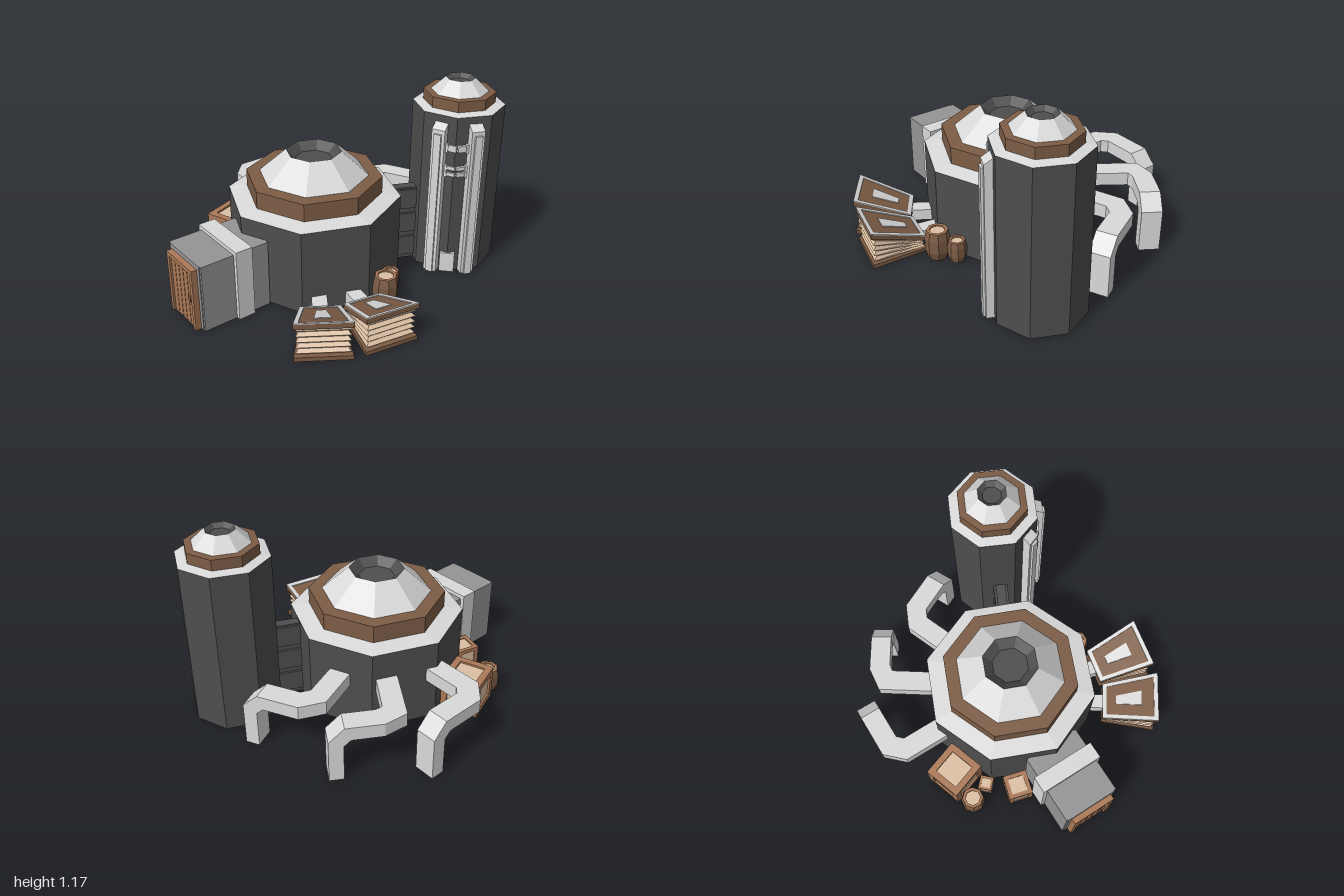
import * as THREE from 'three';

const mat = (name, color, side = THREE.FrontSide) => { const m = new THREE.MeshStandardMaterial({ color, side }); m.name = name; return m; };
// metal and stone shells are open underneath
const DARK = mat('dark iron', 0x4e4e4e, THREE.DoubleSide), LIGHT = mat('light metal', 0xdadada, THREE.DoubleSide);
const GREY = mat('mid grey stone', 0x959595, THREE.DoubleSide);
const BROWN = mat('dark wood', 0x7d5d46), WOOD = mat('light wood', 0xab7957), TAN = mat('tan hide', 0xdcc0a4);

// faceted normals for every geometry
function flat(geo) {
  const g = geo.index ? geo.toNonIndexed() : geo;
  g.computeVertexNormals();
  return g;
}
function add(parent, name, geo, material, x = 0, y = 0, z = 0, ry = 0) {
  const m = new THREE.Mesh(flat(geo), material);
  m.name = name;
  m.position.set(x, y, z);
  m.rotation.y = ry;
  parent.add(m);
  return m;
}
function group(parent, name, x, z, ry = 0) {
  const g = new THREE.Group();
  g.name = name;
  g.position.set(x, 0, z);
  g.rotation.y = ry;
  parent.add(g);
  return g;
}
const lathe = (pts) => new THREE.LatheGeometry(pts.map(([r, y]) => new THREE.Vector2(r, y)), 8);
// box between two corners
function block(parent, name, material, x0, x1, y0, y1, z0, z1) {
  return add(parent, name, new THREE.BoxGeometry(x1 - x0, y1 - y0, z1 - z0), material, (x0 + x1) / 2, (y0 + y1) / 2, (z0 + z1) / 2);
}

// octagonal building: open-bottomed wall, rim, wooden ring, dome and vent
function building(parent, name, x, z, ry, r, h, ringR, ringY0, ringY1, domeR, topR, topY) {
  const g = group(parent, name, x, z, ry);
  add(g, 'wall', lathe([[r, 0], [r, h]]), DARK);
  add(g, 'rim', lathe([[r, h], [ringR - 0.02, ringY0 + 0.004]]), LIGHT);
  add(g, 'woodenRing', lathe([[ringR, ringY0], [ringR, ringY1], [domeR - 0.01, ringY1 + 0.002]]), BROWN);
  add(g, 'dome', lathe([[domeR, ringY1], [topR, topY]]), LIGHT);
  add(g, 'vent', lathe([[topR, topY], [topR * 0.66, topY - topR * 0.3], [0, topY - topR * 0.3]]), DARK);
  return g;
}

// rectangular duct swept along a path with mitred corners, open at both ends
function duct(parent, points) {
  const P = points.map((p) => new THREE.Vector3(...p));
  const dir = (i) => P[i + 1].clone().sub(P[i]).normalize();
  let d = dir(0);
  const side = new THREE.Vector3(0, 1, 0).cross(d).normalize();
  let offs = [[-1, -1], [1, -1], [1, 1], [-1, 1]].map(([a, b]) => side.clone().multiplyScalar(a * 0.063).add(new THREE.Vector3(0, b * 0.042, 0)));
  const pos = [], idx = [];
  P.forEach((p, i) => {
    const out = i < P.length - 1 ? dir(i) : d;
    const n = d.clone().add(out).normalize();
    const ring = offs.map((o) => o.clone().addScaledVector(d, -o.dot(n) / d.dot(n)));
    ring.forEach((o) => pos.push(p.x + o.x, p.y + o.y, p.z + o.z));
    offs = ring.map((o) => o.clone().addScaledVector(out, -o.dot(out)));
    d = out;
    if (i) for (let k = 0; k < 4; k++) {
      const a = (i - 1) * 4 + k, b = (i - 1) * 4 + (k + 1) % 4;
      idx.push(a, b, b + 4, a, b + 4, a + 4);
    }
  });
  const geo = new THREE.BufferGeometry();
  geo.setAttribute('position', new THREE.Float32BufferAttribute(pos, 3));
  geo.setIndex(idx);
  add(parent, 'duct', geo, LIGHT);
}

// crate: tan core with wooden bars along all twelve edges
function crate(parent, x, z, s, h, ry) {
  const g = group(parent, 'crate', x, z, ry), t = s * 0.17, i = t * 0.3;
  block(g, 'panels', TAN, -s / 2 + i, s / 2 - i, i, h - i, -s / 2 + i, s / 2 - i);
  const e = s / 2 - t / 2;
  for (const a of [-1, 1]) for (const b of [-1, 1]) {
    add(g, 'post', new THREE.BoxGeometry(t, h, t), WOOD, a * e, h / 2, b * e);
    const y = h / 2 + b * (h / 2 - t / 2);
    add(g, 'sideBar', new THREE.BoxGeometry(s - 2 * t, t, t), WOOD, 0, y, a * e);
    add(g, 'crossBar', new THREE.BoxGeometry(t, t, s - 2 * t), WOOD, a * e, y, 0);
  }
}

function barrel(parent, x, z, r, h) {
  const g = group(parent, 'barrel', x, z, 0.3);
  add(g, 'staves', lathe([[0, 0], [r * 0.8, 0], [r, h * 0.28], [r, h * 0.72], [r * 0.86, h]]), BROWN);
  add(g, 'barrelRim', lathe([[r * 0.86, h], [r * 0.62, h], [r * 0.62, h - 0.012]]), WOOD);
  add(g, 'lid', lathe([[r * 0.63, h - 0.01], [0, h - 0.01]]), TAN);
}

// tapered slab along x: widths w, bottom heights b and top heights t at [start, end]; insets for lower and upper faces
function slab(x0, x1, w, b, t, insetLow = 0, insetHigh = 0) {
  const geo = new THREE.BoxGeometry(1, 1, 1), p = geo.attributes.position;
  for (let i = 0; i < p.count; i++) {
    const k = p.getX(i) + 0.5, up = p.getY(i) > 0, inset = up ? insetHigh : insetLow, q = up ? t : b;
    p.setXYZ(i, x0 + (x1 - x0) * k + (k > 0.5 ? -inset : inset), q[0] + (q[1] - q[0]) * k,
      p.getZ(i) * (w[0] + (w[1] - w[0]) * k - 2 * inset));
  }
  return geo;
}

function bellows(parent, x, z, ry) {
  const g = group(parent, 'bellows', x, z, ry), L = 0.34, w = [0.23, 0.32];
  add(g, 'bottomBoard', slab(0, L, w, [0.004, 0.004], [0.025, 0.03]), BROWN);
  add(g, 'bottomPanel', slab(0.03, L - 0.03, [0.18, 0.25], [0, 0], [0.006, 0.006]), TAN);
  // accordion folds
  const n = 5, at = (k) => [0.025 + 0.05 * k, 0.03 + 0.18 * k];
  for (let i = 0; i < n; i++) {
    const a = at(i / n), m = at((i + 0.5) / n), c = at((i + 1) / n);
    add(g, 'foldLower', slab(0, L, w, a, m, 0.03, 0.012), TAN);
    add(g, 'foldUpper', slab(0, L, w, m, c, 0.012, 0.03), TAN);
  }
  add(g, 'topBoard', slab(0, L, w, [0.075, 0.21], [0.105, 0.242]), BROWN);
  // metal edging and centre plate lying on the sloping top board
  const y = (q) => 0.105 + (q / L) * 0.137;
  const plate = (name, x0, x1, widths) => add(g, name, slab(x0, x1, widths, [y(x0), y(x1)], [y(x0) + 0.006, y(x1) + 0.006]), LIGHT);
  plate('innerEdging', 0, 0.025, [0.23, 0.237]);
  plate('outerEdging', L - 0.025, L, [0.313, 0.32]);
  for (const s of [-1, 1]) {
    const geo = slab(0.025, L - 0.025, [0.025, 0.025], [y(0.025), y(L - 0.025)], [y(0.025) + 0.006, y(L - 0.025) + 0.006]);
    const p = geo.attributes.position;
    for (let i = 0; i < p.count; i++) p.setZ(i, p.getZ(i) + s * (0.1025 + 0.045 * p.getX(i) / L));
    add(g, 'sideEdging', geo, LIGHT);
  }
  plate('centrePlate', 0.085, 0.24, [0.055, 0.095]);
  block(g, 'nozzle', LIGHT, -0.13, 0.01, 0.025, 0.1, -0.045, 0.045);
}

export function createModel() {
  const model = new THREE.Group();
  model.name = 'forge';
  building(model, 'mainHall', -0.032, 0.07, 0, 0.522, 0.52, 0.41, 0.535, 0.643, 0.33, 0.165, 0.79);
  const tower = building(model, 'tower', 0.349, -0.73, -0.05, 0.273, 1.02, 0.213, 1.03, 1.095, 0.172, 0.087, 1.175);

  // two metal pilasters on neighbouring tower faces, joined by brackets
  for (const s of [-1, 1]) {
    const f = group(tower, 'pilaster', 0, 0, Math.PI / 4 + 0.04 + s * Math.PI / 8);
    block(f, 'pilasterBody', LIGHT, -0.04, 0.04, 0, 0.94, 0.24, 0.3);
    const cap = slab(0.24, 0.3, [0.08, 0.08], [0.94, 0.94], [0.985, 0.945]);
    cap.rotateY(-Math.PI / 2);
    add(f, 'pilasterCap', cap, LIGHT);
    block(f, 'pilasterStrip', LIGHT, -0.022, 0.022, 0, 0.92, 0.29, 0.314);
    for (const [y, h] of [[0.83, 0.04], [0.705, 0.022], [0.665, 0.022]]) {
      const x = -s * 0.07;
      add(f, 'bracket', new THREE.BoxGeometry(0.065, h, 0.03), LIGHT, x, y, 0.251);
      add(f, 'bracketFlange', new THREE.BoxGeometry(0.016, h + 0.015, 0.04), LIGHT, -s * 0.046, y, 0.252);
    }
  }
  const foot = group(tower, 'pilasterFoot', 0, 0, Math.PI / 4);
  block(foot, 'footBlock', LIGHT, -0.045, 0.045, 0, 0.13, 0.22, 0.28);

  // dark stacked link between hall and tower
  const link = group(model, 'link', 0.22, -0.43, -0.45);
  block(link, 'linkCore', DARK, -0.03, 0.03, 0, 0.5, -0.13, 0.13);
  for (const y of [0.03, 0.195, 0.36]) block(link, 'linkBlock', DARK, -0.044, 0.044, y, y + 0.13, -0.13, 0.13);

  // entrance porch, open underneath, with light collar
  for (const s of [-1, 1]) {
    add(model, 'porchSide', new THREE.BoxGeometry(0.03, 0.415, 0.43), GREY, -0.03 + s * 0.16, 0.2075, 0.745);
    add(model, 'collarSide', new THREE.BoxGeometry(0.04, 0.415, 0.105), LIGHT, -0.03 + s * 0.18, 0.2075, 0.7025);
  }
  block(model, 'porchRoof', GREY, -0.19, 0.13, 0.385, 0.415, 0.45, 0.96);
  block(model, 'porchFront', GREY, -0.19, 0.13, 0, 0.415, 0.95, 0.965);
  block(model, 'collarTop', LIGHT, -0.23, 0.17, 0.405, 0.44, 0.65, 0.755);

  // plank door
  const door = group(model, 'door', -0.031, 0.965);
  block(door, 'doorBacking', BROWN, -0.135, 0.135, 0, 0.38, 0, 0.012);
  for (const s of [-1, 1]) add(door, 'doorPost', new THREE.BoxGeometry(0.026, 0.386, 0.035), WOOD, s * 0.125, 0.193, 0.0175);
  block(door, 'doorLintel', WOOD, -0.112, 0.112, 0.36, 0.386, 0, 0.035);
  for (let i = 0; i < 5; i++) add(door, 'plank', new THREE.BoxGeometry(0.04, 0.355, 0.024), WOOD, (i - 2) * 0.0445, 0.1775, 0.012);
  block(door, 'handle', BROWN, 0.074, 0.1, 0.17, 0.2, 0.02, 0.033);

  // ducts that leave the hall, bend and drop to the ground
  const Y = 0.313;
  duct(model, [[-0.49, Y, 0.07], [-0.785, Y, 0.07], [-0.857, Y, 0], [-0.857, Y, -0.225], [-0.857, 0.25, -0.288], [-0.857, 0, -0.288]]);
  duct(model, [[-0.4, Y, -0.195], [-0.67, Y, -0.38], [-0.66, Y, -0.475], [-0.562, Y, -0.633], [-0.528, 0.25, -0.687], [-0.528, 0, -0.687]]);
  duct(model, [[-0.19, Y, -0.32], [-0.305, Y, -0.61], [-0.26, Y, -0.71], [-0.07, Y, -0.803], [-0.01, 0.25, -0.832], [-0.01, 0, -0.832]]);

  crate(model, -0.59, 0.305, 0.238, 0.22, 0.33);
  crate(model, -0.3, 0.585, 0.15, 0.142, -0.26);
  crate(model, -0.458, 0.46, 0.085, 0.09, 0.8);
  barrel(model, -0.581, 0.506, 0.075, 0.15);
  barrel(model, 0.543, -0.01, 0.076, 0.185);
  barrel(model, 0.472, -0.112, 0.057, 0.14);

  bellows(model, 0.555, 0.18, -0.2);
  bellows(model, 0.468, 0.41, -0.6);
  return model;
}
